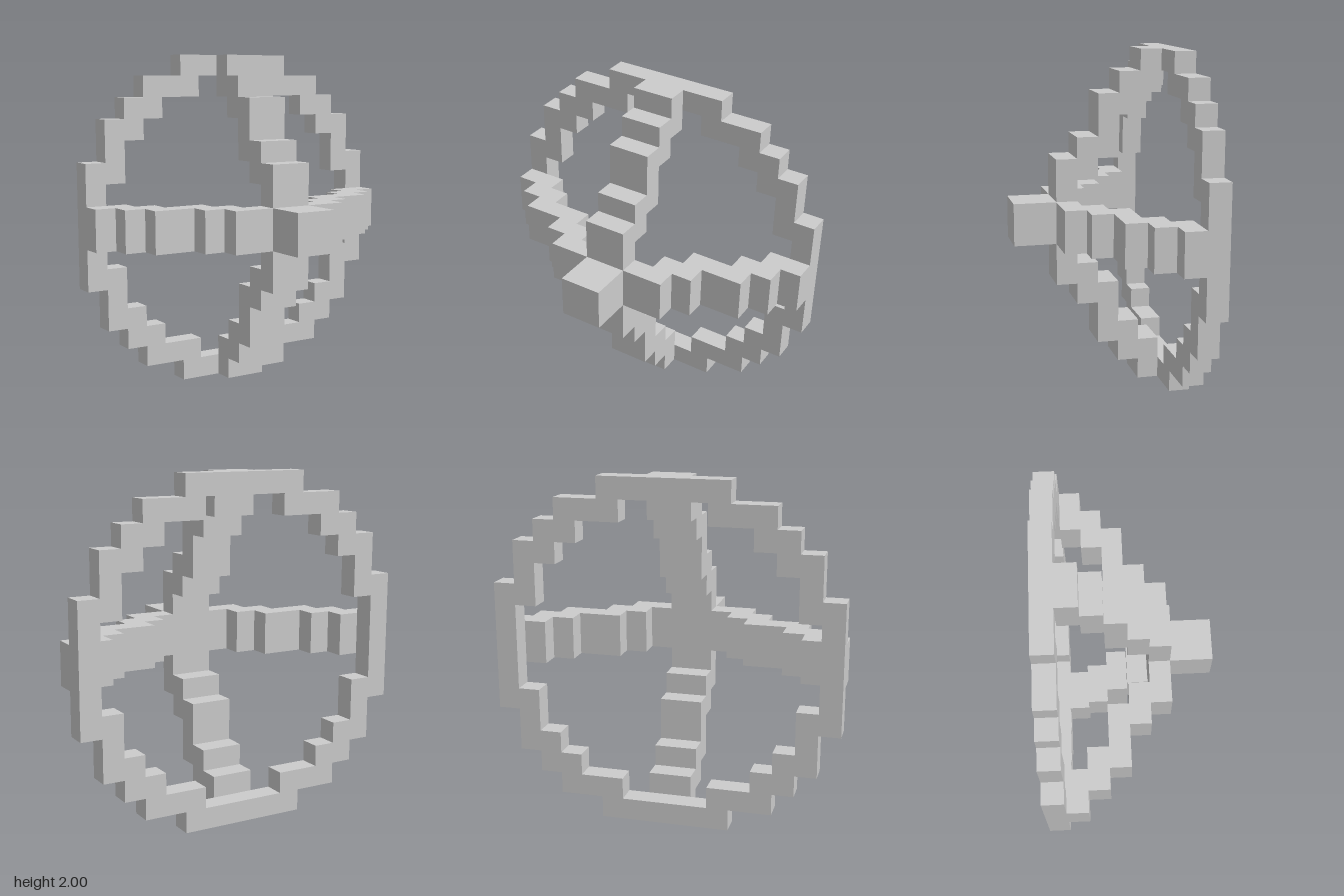
import * as THREE from 'three';

const U = 0.125; // one block

const material = new THREE.MeshStandardMaterial({ color: 0xcccccc, flatShading: true });

// Repeats a quarter outline four times around the centre.
function fourfold(quarter) {
  const points = [];
  for (let k = 0; k < 4; k++) {
    for (const [x, y] of quarter) {
      const [px, py] = [[x, y], [-y, x], [-x, -y], [y, -x]][k];
      points.push(new THREE.Vector2(px * U, py * U));
    }
  }
  return points;
}

function addMesh(parent, name, geometry) {
  const mesh = new THREE.Mesh(geometry, material);
  mesh.name = name;
  parent.add(mesh);
  return mesh;
}

export function createModel() {
  const model = new THREE.Group();
  model.name = 'steppedWheel';

  // Stepped ring at the back, one block thick
  const ringShape = new THREE.Shape(fourfold(
    [[8, 3], [7, 3], [7, 5], [6, 5], [6, 6], [5, 6], [5, 7], [3, 7], [3, 8]]));
  ringShape.holes.push(new THREE.Path(fourfold(
    [[7, 2], [6, 2], [6, 4], [5, 4], [5, 5], [4, 5], [4, 6], [2, 6], [2, 7]])));
  const ringGeometry = new THREE.ExtrudeGeometry(ringShape, { depth: U, bevelEnabled: false });
  ringGeometry.translate(0, 0, -4 * U);
  addMesh(model, 'ring', ringGeometry).position.y = 1;

  // Stair-shaped spoke: profile of radius against depth, two blocks wide
  const profile = [
    [1, 1], [2, 1], [2, 0], [3, 0], [3, -1], [5, -1], [5, -2], [6, -2], [6, -3], [8, -3],
    [8, -2], [7, -2], [7, -1], [6, -1], [6, 0], [4, 0], [4, 1], [3, 1], [3, 2], [1, 2],
  ].map(([r, z]) => new THREE.Vector2(r * U, z * U));
  const spokeGeometry = new THREE.ExtrudeGeometry(new THREE.Shape(profile), { depth: 2 * U, bevelEnabled: false });
  spokeGeometry.translate(0, 0, -U);
  spokeGeometry.rotateX(Math.PI / 2);
  ['leftSpoke', 'topSpoke', 'rightSpoke', 'bottomSpoke'].forEach((name, k) => {
    const spoke = addMesh(model, name, spokeGeometry);
    spoke.position.y = 1;
    spoke.rotation.z = k * Math.PI / 2;
  });

  // Central hub, protruding to the front
  const hub = addMesh(model, 'hub', new THREE.BoxGeometry(2 * U, 2 * U, 3 * U));
  hub.position.set(0, 1, 2.5 * U);

  return model;
}
